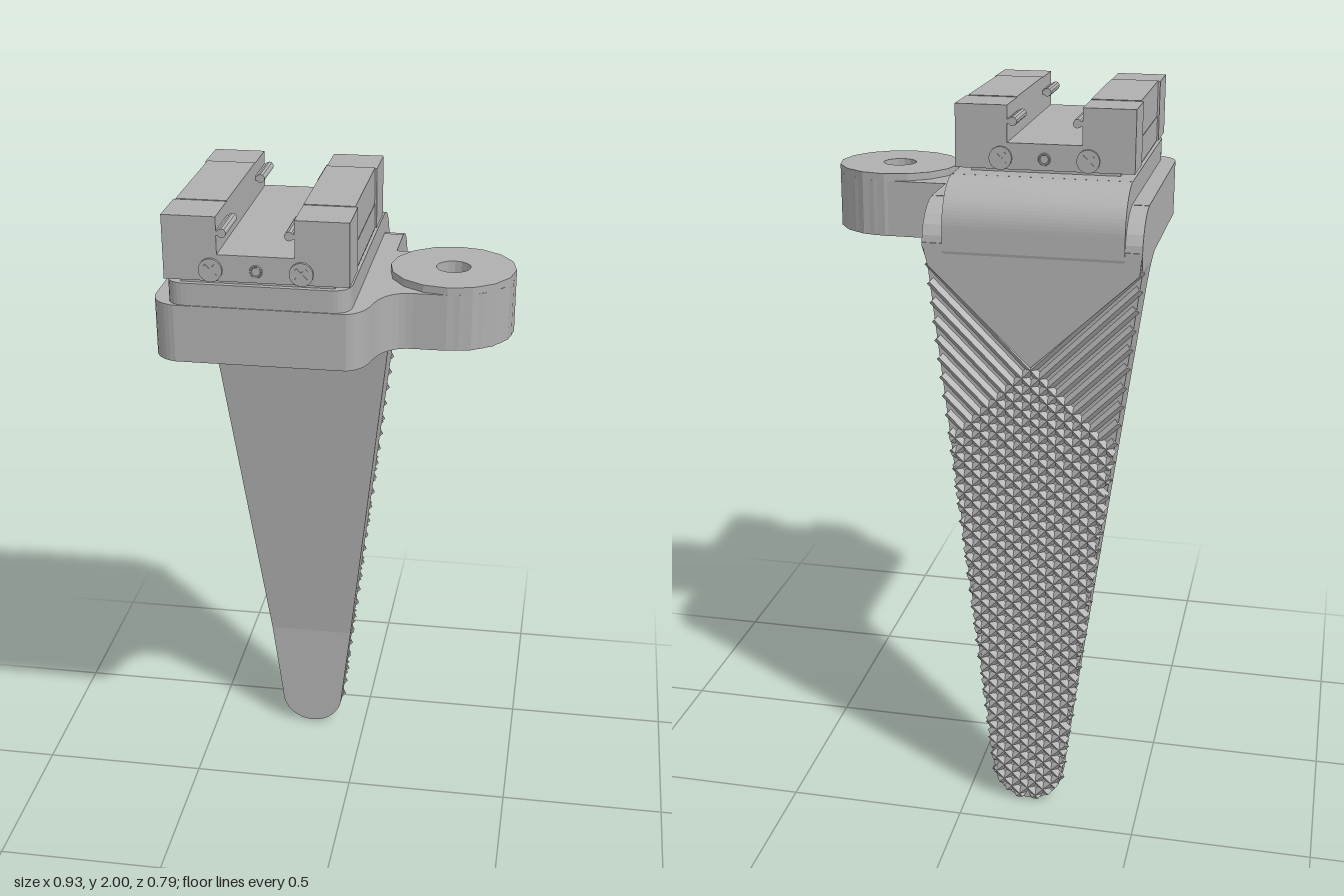
import * as THREE from 'three';

const MID = -0.18; // centre line of the clamp and leg

export function createModel() {
  const model = new THREE.Group();
  const grey = new THREE.MeshStandardMaterial({ color: 0xb0b0b0, flatShading: true });
  grey.name = 'grey metal';

  const add = (name, geo, x = 0, y = 0, z = 0) => {
    const m = new THREE.Mesh(geo, grey);
    m.name = name;
    m.position.set(x, y, z);
    model.add(m);
    return m;
  };
  const box = (name, x0, x1, y0, y1, z0, z1) =>
    add(name, new THREE.BoxGeometry(x1 - x0, y1 - y0, z1 - z0), (x0 + x1) / 2, (y0 + y1) / 2, (z0 + z1) / 2);
  const circle = (x, y, r) => new THREE.Path().absarc(x, y, r, 0, Math.PI * 2, true);
  // Plan shapes use (x, -z) and rise from y0 to y1
  const rise = (name, shape, y0, y1) => {
    const g = new THREE.ExtrudeGeometry(shape, { depth: y1 - y0, bevelEnabled: false, curveSegments: 8 });
    return add(name, g.rotateX(-Math.PI / 2), 0, y0, 0);
  };

  // Mounting plate with side web and underside screw holes
  const plan = new THREE.Shape();
  plan.moveTo(-0.465, 0.28);
  plan.lineTo(-0.465, -0.31);
  plan.quadraticCurveTo(-0.46, -0.375, -0.4, -0.388);
  plan.lineTo(0.05, -0.388);
  plan.quadraticCurveTo(0.09, -0.375, 0.103, -0.32);
  plan.quadraticCurveTo(0.12, -0.21, 0.2, -0.208);
  plan.lineTo(0.29, -0.208);
  plan.absarc(0.29, -0.038, 0.168, -Math.PI / 2, Math.PI / 2, false);
  plan.lineTo(0.115, 0.132);
  plan.lineTo(0.115, 0.28);
  plan.holes.push(circle(0.29, -0.038, 0.047));
  for (const x of [-0.31, -0.05]) for (const z of [-0.01, 0.19]) plan.holes.push(circle(x, -z, 0.05));
  rise('mountingPlate', plan, 1.605, 1.76);

  // Round boss with a blind hole
  const ring = new THREE.Shape().absarc(0.29, -0.038, 0.17, 0, Math.PI * 2, false);
  ring.holes.push(circle(0.29, -0.038, 0.047));
  rise('boss', ring, 1.605, 1.78);
  add('bossHoleFloor', new THREE.CylinderGeometry(0.048, 0.048, 0.075, 16), 0.29, 1.6425, 0.038);

  // Raised tier on the plate, and its bend over the back
  const tier = new THREE.Shape();
  tier.moveTo(-0.42, 0.28);
  tier.lineTo(-0.42, -0.33);
  tier.quadraticCurveTo(-0.42, -0.385, -0.365, -0.385);
  tier.lineTo(0.005, -0.385);
  tier.quadraticCurveTo(0.06, -0.385, 0.06, -0.33);
  tier.lineTo(0.06, 0.28);
  rise('raisedTier', tier, 1.755, 1.82);

  const bend = new THREE.Shape(); // drawn in (-z, y)
  bend.moveTo(0.27, 1.7);
  bend.lineTo(0.385, 1.6);
  bend.lineTo(0.396, 1.64);
  bend.lineTo(0.396, 1.7);
  bend.absarc(0.276, 1.7, 0.12, 0, Math.PI / 2, false);
  bend.lineTo(0.27, 1.82);
  const bendGeo = new THREE.ExtrudeGeometry(bend, { depth: 0.48, bevelEnabled: false, curveSegments: 10 });
  add('tierBend', bendGeo.rotateY(Math.PI / 2), -0.42, 0, 0);

  // Leg outline: tapered sides over a round tip
  const sides = (y) => {
    if (y < 0.1) {
      const w = Math.sqrt(Math.max(0, 0.01 - (0.1 - y) ** 2));
      return [-0.177 - w, -0.177 + w];
    }
    const t = Math.min(1, (y - 0.1) / 1.5);
    return [-0.277 - 0.188 * t, -0.077 + 0.18 * t];
  };

  // Leg lofted from rectangular sections [y, front z, back z]
  const rows = [];
  for (let i = 0; i <= 8; i++) rows.push([0.1 - 0.1 * Math.cos((i / 8) * Math.PI / 2), -0.33, -0.382]);
  rows.push([0.36, -0.33, -0.382], [1.5, -0.21, -0.382]);
  for (let i = 1; i <= 5; i++) {
    const a = (i / 5) * Math.PI / 2;
    rows.push([1.5 + 0.105 * Math.sin(a), -0.13 - 0.08 * Math.cos(a), -0.382]);
  }
  for (let i = 0; i <= 6; i++) {
    const a = (i / 6) * Math.PI / 2;
    rows.push([1.65 + 0.11 * Math.sin(a), -0.13, -0.272 - 0.12 * Math.cos(a)]);
  }
  const pos = [], idx = [];
  rows.forEach(([y, zf, zb], i) => {
    const [l, r0] = sides(y);
    const r = r0 + 0.012 * THREE.MathUtils.clamp((y - 1.6) / 0.05, 0, 1);
    pos.push(l, y, zf, r, y, zf, r, y, zb, l, y, zb);
    if (i) for (let k = 0; k < 4; k++) {
      const a = (i - 1) * 4 + k, b = (i - 1) * 4 + (k + 1) % 4;
      idx.push(a, b, b + 4, a, b + 4, a + 4);
    }
  });
  const top = (rows.length - 1) * 4;
  idx.push(top, top + 1, top + 2, top, top + 2, top + 3);
  const legGeo = new THREE.BufferGeometry();
  legGeo.setAttribute('position', new THREE.Float32BufferAttribute(pos, 3));
  legGeo.setIndex(idx);
  legGeo.computeVertexNormals();
  add('leg', legGeo);

  // Smooth V-shaped panel at the top of the leg's back
  const vee = new THREE.Shape();
  vee.moveTo(-0.177, 1.335);
  vee.lineTo(0.1, 1.6);
  vee.lineTo(0.115, 1.66);
  vee.lineTo(-0.465, 1.66);
  vee.lineTo(-0.46, 1.6);
  add('backPanel', new THREE.ExtrudeGeometry(vee, { depth: 0.012, bevelEnabled: false }), 0, 0, -0.394);

  // Crossed diagonal grip ridges down the back
  const inside = (x, y) => {
    if (y < 0.005 || y > 1.62) return false;
    const [l, r] = sides(y);
    return x >= l && x <= r;
  };
  const ridgeShape = new THREE.Shape();
  ridgeShape.moveTo(-0.013, 0);
  ridgeShape.lineTo(0.013, 0);
  ridgeShape.lineTo(0, 0.013);
  const ridges = new THREE.Group();
  ridges.name = 'gripRidges';
  model.add(ridges);
  for (const [s, limit] of [[-1, 1.15], [1, 1.505]]) {
    for (let c = limit; c > -0.3; c -= 0.046) {
      let a = null, b = null;
      for (let x = -0.47; x < 0.13; x += 0.002) {
        if (!inside(x, s * x + c)) continue;
        if (a === null) a = x;
        b = x;
      }
      if (a === null || b - a < 0.01) continue;
      const from = new THREE.Vector3(a, s * a + c, -0.381);
      const dir = new THREE.Vector3(1, s, 0).normalize();
      const up = new THREE.Vector3(0, 0, -1);
      const side = new THREE.Vector3().crossVectors(up, dir);
      const g = new THREE.ExtrudeGeometry(ridgeShape, { depth: (b - a) * Math.SQRT2, bevelEnabled: false });
      g.applyMatrix4(new THREE.Matrix4().makeBasis(side, up, dir).setPosition(from));
      const m = new THREE.Mesh(g, grey);
      m.name = 'gripRidge';
      ridges.add(m);
    }
  }

  // Clamp: floor, two jaws with thicker ends, and inner lips
  box('clampFloor', MID - 0.235, MID + 0.235, 1.83, 1.9, -0.24, 0.385);
  box('clampFoot', MID - 0.2, MID + 0.2, 1.815, 1.835, -0.22, 0.37);
  for (const s of [-1, 1]) {
    const span = (name, a, b, y0, y1, z0, z1) =>
      box(name, Math.min(MID + s * a, MID + s * b), Math.max(MID + s * a, MID + s * b), y0, y1, z0, z1);
    span('jaw', 0.1, 0.234, 1.825, 2, -0.11, 0.252);
    for (const [z0, z1] of [[-0.24, -0.108], [0.25, 0.385]]) {
      span('jawEnd', 0.1, 0.24, 1.83, 1.998, z0, z1);
      span('lipNeck', 0.085, 0.102, 1.95, 1.962, z0, z1);
      add('lip', new THREE.CylinderGeometry(0.012, 0.012, z1 - z0, 10).rotateX(Math.PI / 2),
        MID + s * 0.086, 1.956, (z0 + z1) / 2);
    }
    // Cross-slotted screws at both ends
    for (const [z, f] of [[0.385, 1], [-0.24, -1]]) {
      const x = MID + s * 0.117;
      add('screwHead', new THREE.CylinderGeometry(0.031, 0.031, 0.016, 16).rotateX(Math.PI / 2), x, 1.86, z);
      for (const turn of [Math.PI / 4, -Math.PI / 4]) {
        add('screwCross', new THREE.BoxGeometry(0.04, 0.007, 0.004), x, 1.86, z + f * 0.008).rotation.z = turn;
      }
    }
  }
  for (const z of [0.385, -0.24]) {
    add('centrePin', new THREE.TorusGeometry(0.014, 0.003, 6, 14), MID, 1.86, z);
  }

  return model;
}
